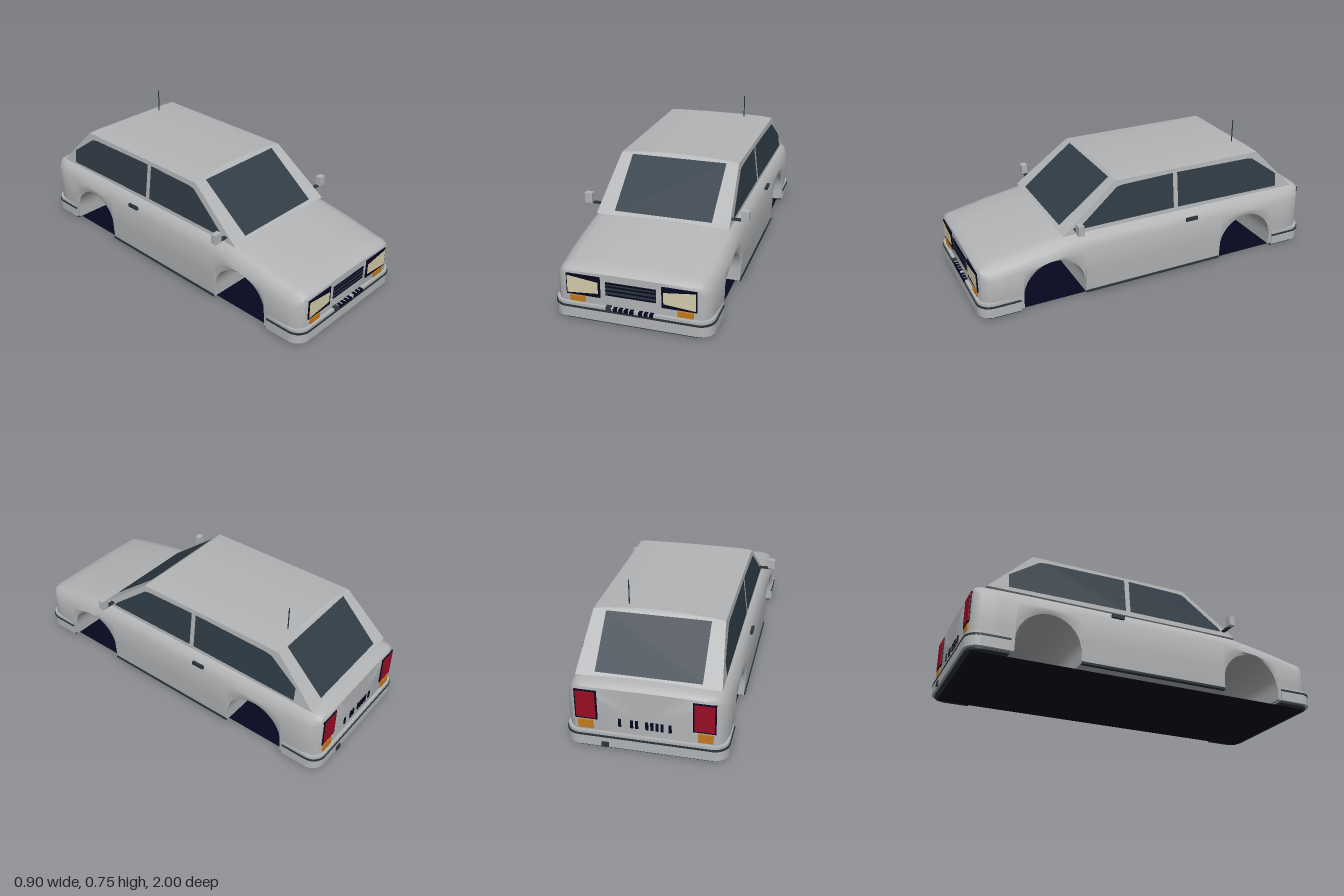
import * as THREE from 'three';
import { toCreasedNormals } from 'three/addons/utils/BufferGeometryUtils.js';

const paint = (name, color, extra = {}) => new THREE.MeshStandardMaterial({ name, color, ...extra });

// Linear lookup in a table of [key, value], keys descending
function lookup(table, k) {
  if (k >= table[0][0]) return table[0][1];
  for (let i = 1; i < table.length; i++) {
    const [a, va] = table[i - 1], [b, vb] = table[i];
    if (k >= b) return va + (vb - va) * (a - k) / (a - b);
  }
  return table[table.length - 1][1];
}

// Skin closed rings of points and cap both ends
function loft(rings, crease = 0.6) {
  const n = rings[0].length, pos = rings.flat(2), idx = [];
  for (let k = 0; k < rings.length - 1; k++) {
    for (let i = 0; i < n; i++) {
      const j = (i + 1) % n, a = k * n + i, b = k * n + j;
      idx.push(a, a + n, b, b, a + n, b + n);
    }
  }
  [0, rings.length - 1].forEach((k) => {
    const ring = rings[k], c = pos.length / 3;
    for (let d = 0; d < 3; d++) {
      const v = ring.map((p) => p[d]);
      pos.push((Math.min(...v) + Math.max(...v)) / 2);
    }
    for (let i = 0; i < n; i++) {
      const a = k * n + i, b = k * n + (i + 1) % n;
      if (k === 0) idx.push(c, a, b); else idx.push(c, b, a);
    }
  });
  const g = new THREE.BufferGeometry();
  g.setAttribute('position', new THREE.Float32BufferAttribute(pos, 3));
  g.setIndex(idx);
  return toCreasedNormals(g, crease);
}

// Flat convex polygon
function polygon(pts) {
  const g = new THREE.BufferGeometry();
  g.setAttribute('position', new THREE.Float32BufferAttribute(pts.flat(), 3));
  const idx = [];
  for (let i = 1; i < pts.length - 1; i++) idx.push(0, i, i + 1);
  g.setIndex(idx);
  g.computeVertexNormals();
  return g;
}

const TOP = [[0.975, 0.262], [0.965, 0.273], [0.94, 0.286], [0.9, 0.298], [0.7, 0.335], [0.5, 0.368],
  [0.3, 0.372], [-0.88, 0.37], [-0.94, 0.363], [-0.965, 0.352], [-0.975, 0.34]];
const WIDTH = [[0, 0.406], [-0.7, 0.406], [-0.88, 0.402], [-0.94, 0.388], [-0.965, 0.367], [-0.975, 0.35]];
const ARCH_Z = 0.588, ARCH_R = 0.172, ARCH_Y = 0.08, SILL = 0.02;

// One cross-section of the lower body
function bodyRing(z, yb) {
  const w = lookup(WIDTH, -Math.abs(z)), yt = lookup(TOP, z);
  const r = Math.abs(z) > 0.96 ? 0.5 : Math.abs(z) > 0.92 ? 0.75 : 1;
  const ys = yt - 0.085 * r;
  const half = [[0, yb], [w - 0.008, yb], [w, (yb + ys) / 2], [w - 0.002, ys], [w - 0.02 * r, yt - 0.045 * r],
    [w - 0.045 * r, yt - 0.02 * r], [w - 0.09 * r, yt - 0.008 * r], [w * 0.4, yt - 0.001], [0, yt]];
  const mirrored = half.slice(1, -1).reverse().map(([x, y]) => [-x, y]);
  return [...half, ...mirrored].map(([x, y]) => [x, y, z]);
}

function bodyGeometry() {
  const rings = [0.975, 0.965, 0.94, 0.9, 0.83].map((z) => bodyRing(z, SILL));
  const arch = (c) => {
    rings.push(bodyRing(c + ARCH_R, SILL));
    for (let i = 0; i <= 18; i++) {
      const t = Math.PI * i / 18;
      rings.push(bodyRing(c + ARCH_R * Math.cos(t), ARCH_Y + ARCH_R * Math.sin(t)));
    }
    rings.push(bodyRing(c - ARCH_R, SILL));
  };
  arch(ARCH_Z);
  [0.3, 0, -0.3].forEach((z) => rings.push(bodyRing(z, SILL)));
  arch(-ARCH_Z);
  [-0.83, -0.88, -0.94, -0.965, -0.975].forEach((z) => rings.push(bodyRing(z, SILL)));
  return loft(rings);
}

// Horizontal slab of the bumper, rounded at the outer corners
function bumperLayer(y0, y1, grow) {
  const w = 0.406 + grow, f = -0.993 - grow, b = -0.78, r = 0.075;
  const s = new THREE.Shape();
  s.moveTo(-w, b);
  s.lineTo(-w, f + r);
  s.absarc(-w + r, f + r, r, Math.PI, Math.PI * 1.5, false);
  s.lineTo(w - r, f);
  s.absarc(w - r, f + r, r, Math.PI * 1.5, Math.PI * 2, false);
  s.lineTo(w, b);
  const g = new THREE.ExtrudeGeometry(s, { depth: y1 - y0, bevelEnabled: false, curveSegments: 6 });
  g.rotateX(-Math.PI / 2).translate(0, y0, 0);
  return toCreasedNormals(g, 0.6);
}

export function createModel() {
  const grey = paint('bodyGrey', 0xb2b4b6);
  const slate = paint('slateTrim', 0x2b353d);
  const glass = paint('tintedGlass', 0x303c46, { side: THREE.DoubleSide });
  const navy = paint('darkNavy', 0x06061f, { side: THREE.DoubleSide });
  const cream = paint('headlightCream', 0xd6ccaa, { side: THREE.DoubleSide });
  const orange = paint('indicatorOrange', 0xc47a1c);
  const red = paint('tailRed', 0x9c0c24);

  const car = new THREE.Group();
  car.name = 'carBody';
  const add = (name, geo, mat, parent = car) => {
    const m = new THREE.Mesh(geo, mat);
    m.name = name;
    parent.add(m);
    return m;
  };
  // Box given by its extents
  const box = (name, mat, x0, x1, y0, y1, z0, z1, parent) => add(name,
    new THREE.BoxGeometry(Math.abs(x1 - x0), y1 - y0, z1 - z0)
      .translate((x0 + x1) / 2, (y0 + y1) / 2, (z0 + z1) / 2), mat, parent);

  add('lowerBody', bodyGeometry(), grey);

  // Cabin with a slightly crowned roof
  const level = (y, w, f, b) => [[w, y, b], [w, y, f], [-w, y, f], [-w, y, b]];
  add('cabin', loft([level(0.36, 0.361, 0.522, -0.91), level(0.602, 0.332, 0.212, -0.675),
    level(0.61, 0.265, 0.205, -0.668), level(0.617, 0.1, 0.195, -0.655)], 0.3), grey);

  // Glass laid on the sloping cabin faces
  const frontZ = (y) => 0.527 - (y - 0.36) * 1.281;
  const rearZ = (y) => -0.915 + (y - 0.36) * 0.971;
  const sideX = (y) => 0.366 - (y - 0.36) * 0.12;
  const screen = (zOf) => polygon([[-0.265, 0.378], [0.265, 0.378], [0.265, 0.6], [-0.265, 0.6]]
    .map(([x, y]) => [x, y, zOf(y)]));
  add('windscreen', screen(frontZ), glass);
  add('rearWindow', screen(rearZ), glass);
  const sideWindows = {
    frontSideWindow: [[0.43, 0.383], [0.42, 0.4], [0.205, 0.57], [0.17, 0.576], [-0.128, 0.582], [-0.128, 0.385]],
    rearSideWindow: [[-0.155, 0.385], [-0.155, 0.582], [-0.6, 0.576], [-0.64, 0.57], [-0.8, 0.455], [-0.8, 0.378]],
  };

  for (const s of [1, -1]) {
    const side = new THREE.Group();
    side.name = s > 0 ? 'leftSide' : 'rightSide';
    car.add(side);
    for (const [name, pts] of Object.entries(sideWindows)) {
      add(name, polygon(pts.map(([z, y]) => [s * sideX(y), y, z])), glass, side);
    }
    box('doorHandle', slate, s * 0.398, s * 0.412, 0.306, 0.324, -0.255, -0.185, side);
    box('sillStrip', slate, s * 0.38, s * 0.404, 0.018, 0.03, -0.414, 0.414, side);
    // Mirror on its arm
    box('mirrorArm', slate, s * 0.345, s * 0.425, 0.386, 0.394, 0.44, 0.462, side);
    box('mirror', grey, s * 0.408, s * 0.45, 0.39, 0.445, 0.438, 0.47, side);
    // Headlight with a lens that tapers inward
    box('headlightFrame', navy, s * 0.155, s * 0.33, 0.135, 0.245, 0.972, 0.98, side);
    add('headlightLens', polygon([[0.165, 0.157], [0.325, 0.143], [0.325, 0.236], [0.165, 0.217]]
      .map(([x, y]) => [s * x, y, 0.982])), cream, side);
    box('frontIndicator', orange, s * 0.235, s * 0.312, 0.1, 0.13, 0.973, 0.982, side);
    // Tail lamp
    box('tailLampFrame', navy, s * 0.236, s * 0.348, 0.16, 0.322, -0.98, -0.972, side);
    box('tailLamp', red, s * 0.244, s * 0.341, 0.168, 0.315, -0.983, -0.975, side);
    box('rearIndicator', orange, s * 0.26, s * 0.335, 0.105, 0.152, -0.982, -0.973, side);
  }

  // Grille with dark slots
  box('grille', slate, -0.127, 0.127, 0.155, 0.224, 0.972, 0.979);
  for (const y of [0.155, 0.177, 0.199, 0.216]) box('grilleSlot', navy, -0.127, 0.127, y, y + 0.008, 0.974, 0.981);

  // Plain marker blocks above the bumpers
  box('frontMarkerBlock', slate, -0.123, -0.098, 0.077, 0.102, 0.974, 0.998);
  for (const x of [-0.076, -0.048, -0.02, 0.008, 0.052, 0.08, 0.108]) {
    box('frontMarker', navy, x - 0.009, x + 0.009, 0.081, 0.097, 0.974, 0.998);
  }
  for (const x of [-0.125, -0.085, -0.06, -0.035, -0.01, 0.04, 0.065, 0.125]) {
    box('rearMarker', navy, x - 0.007, x + 0.007, 0.135, 0.178, -0.98, -0.973);
  }

  // Bumpers in stacked layers
  for (const [name, turn] of [['frontBumper', 0], ['rearBumper', Math.PI]]) {
    const bumper = new THREE.Group();
    bumper.name = name;
    bumper.rotation.y = turn;
    car.add(bumper);
    add('bumperLip', bumperLayer(0.004, 0.016, -0.012), slate, bumper);
    add('bumperShell', bumperLayer(0.016, 0.07, 0), grey, bumper);
    add('bumperStrip', bumperLayer(0.07, 0.08, 0.002), slate, bumper);
    add('bumperTop', bumperLayer(0.08, 0.095, -0.002), grey, bumper);
  }

  // Floor, exhaust and aerial
  add('floor', polygon([[-0.365, 0, -0.96], [0.365, 0, -0.96], [0.365, 0, 0.96], [-0.365, 0, 0.96]]), navy);
  box('exhaust', slate, 0.18, 0.215, 0.018, 0.045, -1.0, -0.95);
  add('aerial', new THREE.CylinderGeometry(0.003, 0.003, 0.135, 8).translate(0.165, 0.6775, -0.615), slate);
  return car;
}
